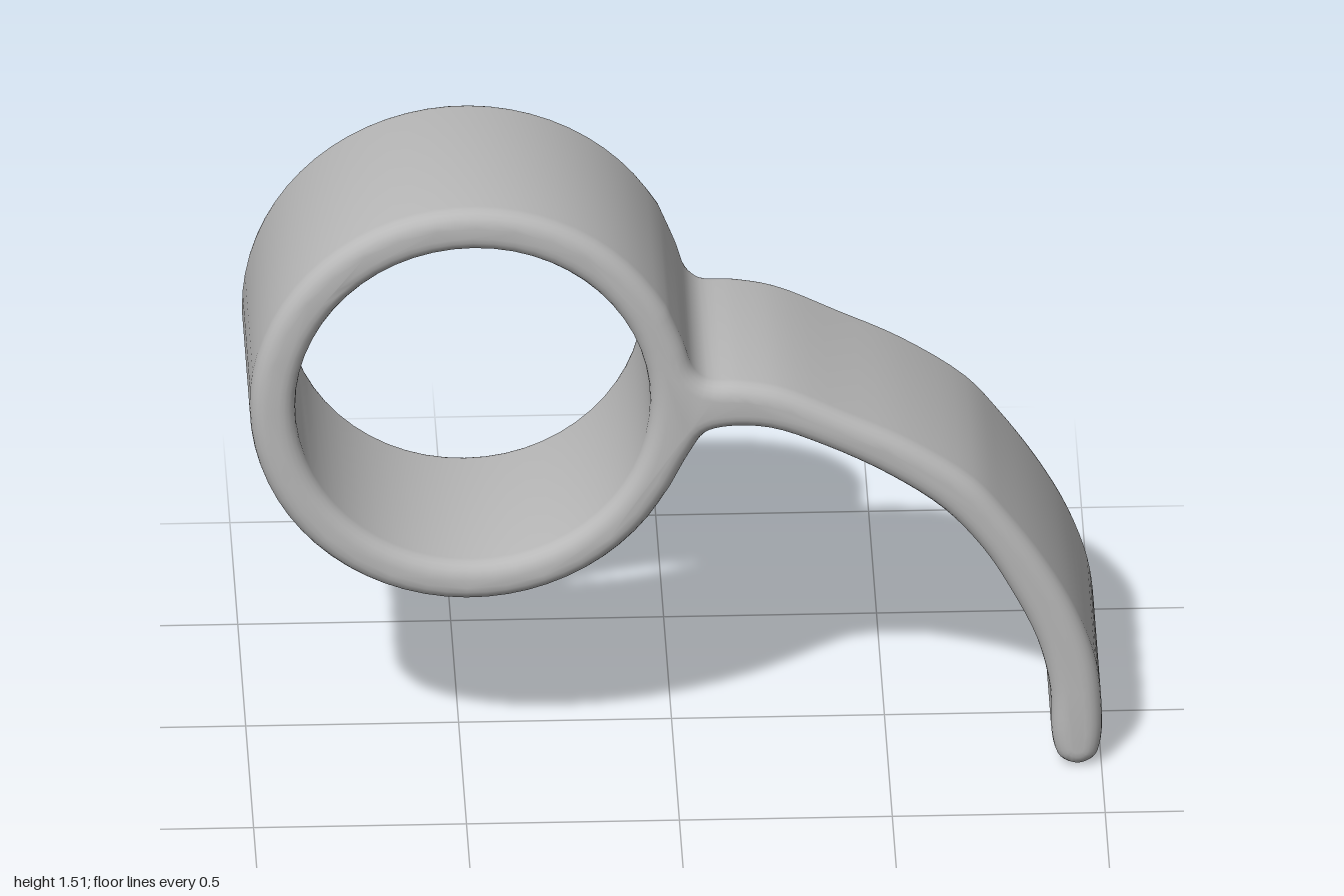
import * as THREE from 'three';
import { toCreasedNormals } from 'three/addons/utils/BufferGeometryUtils.js';

export function createModel() {
  const group = new THREE.Group();
  group.name = 'ringWithCurvedTail';
  const grey = new THREE.MeshStandardMaterial({ color: 0xb8b8b8 });
  grey.name = 'plain grey';

  const cx = -0.48, cy = 0.99, outer = 0.52, inner = 0.417;
  const width = 0.565, bevel = 0.04;

  // Tail outline: over the top fillet, round the tip, back along the underside
  const tail = [
    [-0.022, 1.24], [0.018, 1.14], [0.042, 1.07], [0.075, 1.04], [0.15, 1.035], [0.25, 1.015],
    [0.4, 0.945], [0.55, 0.87], [0.7, 0.765], [0.78, 0.67], [0.87, 0.54], [0.94, 0.41],
    [0.985, 0.28], [1.0, 0.17], [0.999, 0.06], [0.984, 0.018], [0.945, 0], [0.903, 0.018],
    [0.885, 0.07], [0.88, 0.2], [0.85, 0.33], [0.78, 0.48], [0.72, 0.58], [0.63, 0.685],
    [0.5, 0.78], [0.35, 0.86], [0.22, 0.91], [0.12, 0.915], [0.07, 0.9], [0.035, 0.85], [-0.01, 0.763],
  ].map(([x, y]) => new THREE.Vector3(x, y, 0));
  const outline = new THREE.CatmullRomCurve3(tail, false, 'centripetal')
    .getPoints(120).map((p) => new THREE.Vector2(p.x, p.y));

  // Outer rim of the ring, clockwise from below the tail to above it
  const start = -25.8 * Math.PI / 180, sweep = 305.7 * Math.PI / 180;
  for (let i = 1; i < 56; i++) {
    const a = start - sweep * i / 56;
    outline.push(new THREE.Vector2(cx + outer * Math.cos(a), cy + outer * Math.sin(a)));
  }

  const shape = new THREE.Shape(outline);
  const hole = new THREE.Path();
  hole.absarc(cx + 0.004, cy - 0.004, inner, 0, Math.PI * 2, false);
  shape.holes.push(hole);

  // One continuous band with rounded edges
  const depth = width - 2 * bevel;
  const geometry = new THREE.ExtrudeGeometry(shape, {
    depth, curveSegments: 28, bevelEnabled: true, bevelThickness: bevel,
    bevelSize: bevel, bevelOffset: -bevel, bevelSegments: 5,
  });
  geometry.translate(0, 0, -depth / 2);
  geometry.clearGroups();

  const band = new THREE.Mesh(toCreasedNormals(geometry, 0.9), grey);
  band.name = 'ringAndTailBand';
  group.add(band);
  return group;
}
